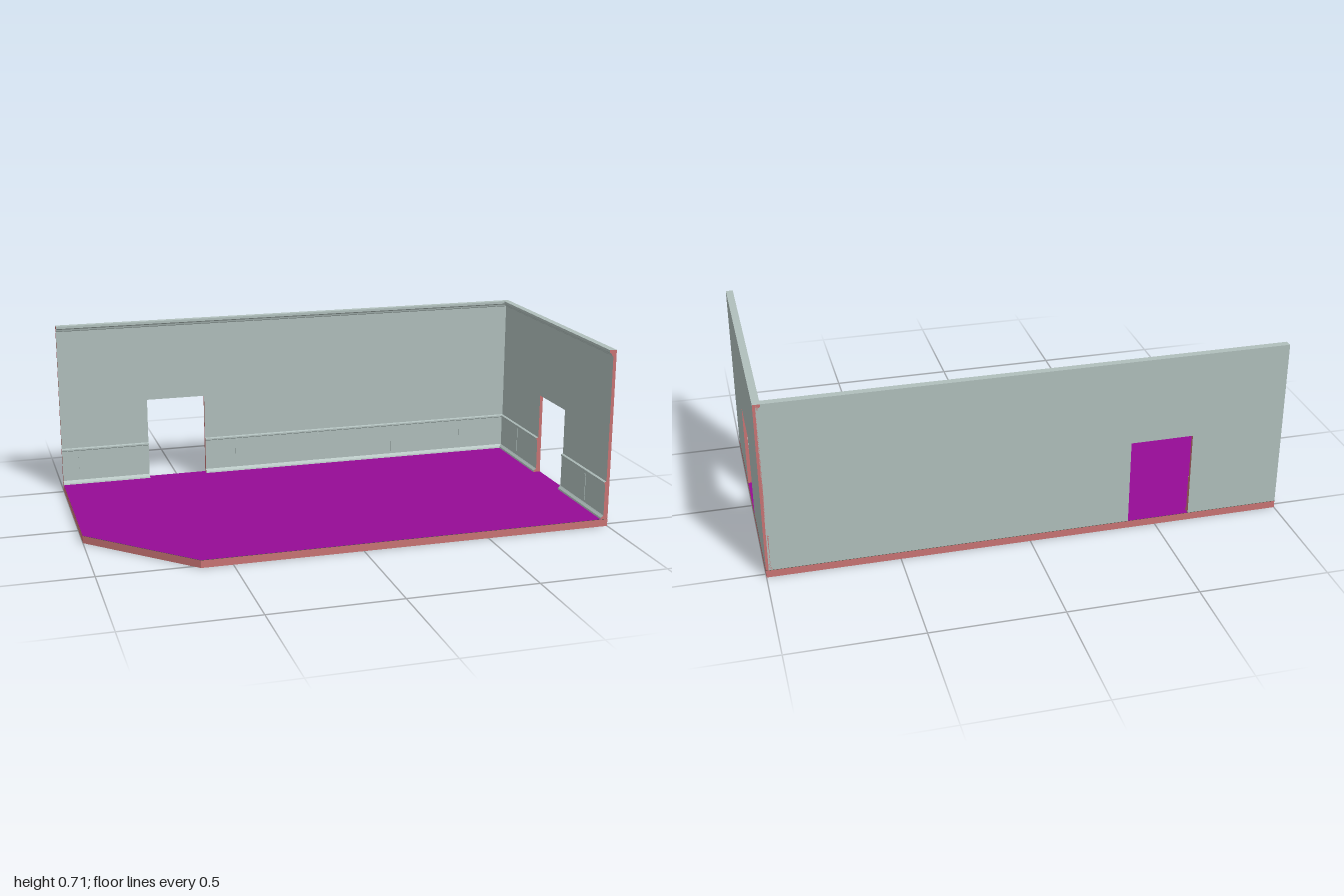
import * as THREE from 'three';

const mat = (color) => new THREE.MeshStandardMaterial({ color, flatShading: true });
const wallMat = mat(0xb0bfbc), cutMat = mat(0xc97474), floorMat = mat(0x960c96), underMat = mat(0x2f4a39);

const HEIGHT = 0.708, FLOOR = 0.03, DOOR = 0.37, DEPTH = 0.523;

// Inner face of the wall as [thickness, height], from skirting to crown moulding
const lower = [
  [0.03, FLOOR], [0.028, 0.036], [0.021, 0.042], [0.018, 0.045], [0.018, 0.172],
  [0.022, 0.175], [0.022, 0.181], [0.013, 0.184], [0.013, DOOR],
];
const upper = [
  [0.013, DOOR], [0.013, 0.683], [0.018, 0.686], [0.02, 0.693],
  [0.028, 0.698], [0.028, HEIGHT],
];

function named(name, geometry, material) {
  const mesh = new THREE.Mesh(geometry, material);
  mesh.name = name;
  return mesh;
}

// Wall section swept along local z; outer face at x = 0, inner face towards -x
function section(name, profile, from, to) {
  const pts = [
    [0, profile[0][1]], ...profile.map(([d, y]) => [-d, y]), [0, profile.at(-1)[1]],
  ].map(([x, y]) => new THREE.Vector2(x, y));
  const geo = new THREE.ExtrudeGeometry(new THREE.Shape(pts), { depth: to - from, bevelEnabled: false });
  geo.translate(0, 0, from);
  return named(name, geo, [cutMat, wallMat]);
}

// Wall with a doorway, moulded trim and panel dividers [position, width]
function createWall(name, from, to, door, dividers) {
  const wall = new THREE.Group();
  wall.name = name;
  const whole = [...lower, ...upper.slice(1)];
  wall.add(section('wallBeforeDoor', whole, from, door[0]));
  wall.add(section('wallAfterDoor', whole, door[1], to));
  wall.add(section('wallOverDoor', upper, door[0], door[1]));

  // Cut face under the lintel
  const lintel = new THREE.PlaneGeometry(0.013, door[1] - door[0]).rotateX(Math.PI / 2);
  lintel.translate(-0.0065, DOOR - 0.0005, (door[0] + door[1]) / 2);
  wall.add(named('lintelUnderside', lintel, cutMat));

  for (const [pos, width] of dividers) {
    const strip = named('panelDivider', new THREE.BoxGeometry(0.004, 0.11, width), wallMat);
    strip.position.set(-0.018, 0.11, pos);
    wall.add(strip);
  }
  return wall;
}

export function createModel() {
  const model = new THREE.Group();
  model.name = 'room';

  // Floor slab with one cut corner
  const outline = new THREE.Shape([
    [-1, DEPTH], [1, DEPTH], [1, -DEPTH], [-0.62, -DEPTH], [-1, -0.145],
  ].map(([x, y]) => new THREE.Vector2(x, y)));
  const slab = new THREE.ExtrudeGeometry(outline, { depth: FLOOR - 0.001, bevelEnabled: false });
  model.add(named('floorSlab', slab.rotateX(-Math.PI / 2), [underMat, cutMat]));
  const top = new THREE.ShapeGeometry(outline).rotateX(-Math.PI / 2).translate(0, FLOOR, 0);
  model.add(named('floorSurface', top, floorMat));

  // Side wall on the model's left
  const side = createWall('sideWall', -DEPTH, DEPTH, [-0.115, 0.13], [[-0.33, 0.01], [0.35, 0.01]]);
  side.position.x = 1;
  model.add(side);

  // Back wall, stopping inside the side wall
  const back = createWall('backWall', -1, 0.99, [-0.635, -0.39],
    [[-0.93, 0.004], [-0.255, 0.01], [0.115, 0.004], [0.45, 0.004], [0.778, 0.008]]);
  back.rotation.y = Math.PI / 2;
  back.position.z = -DEPTH;
  model.add(back);

  return model;
}
